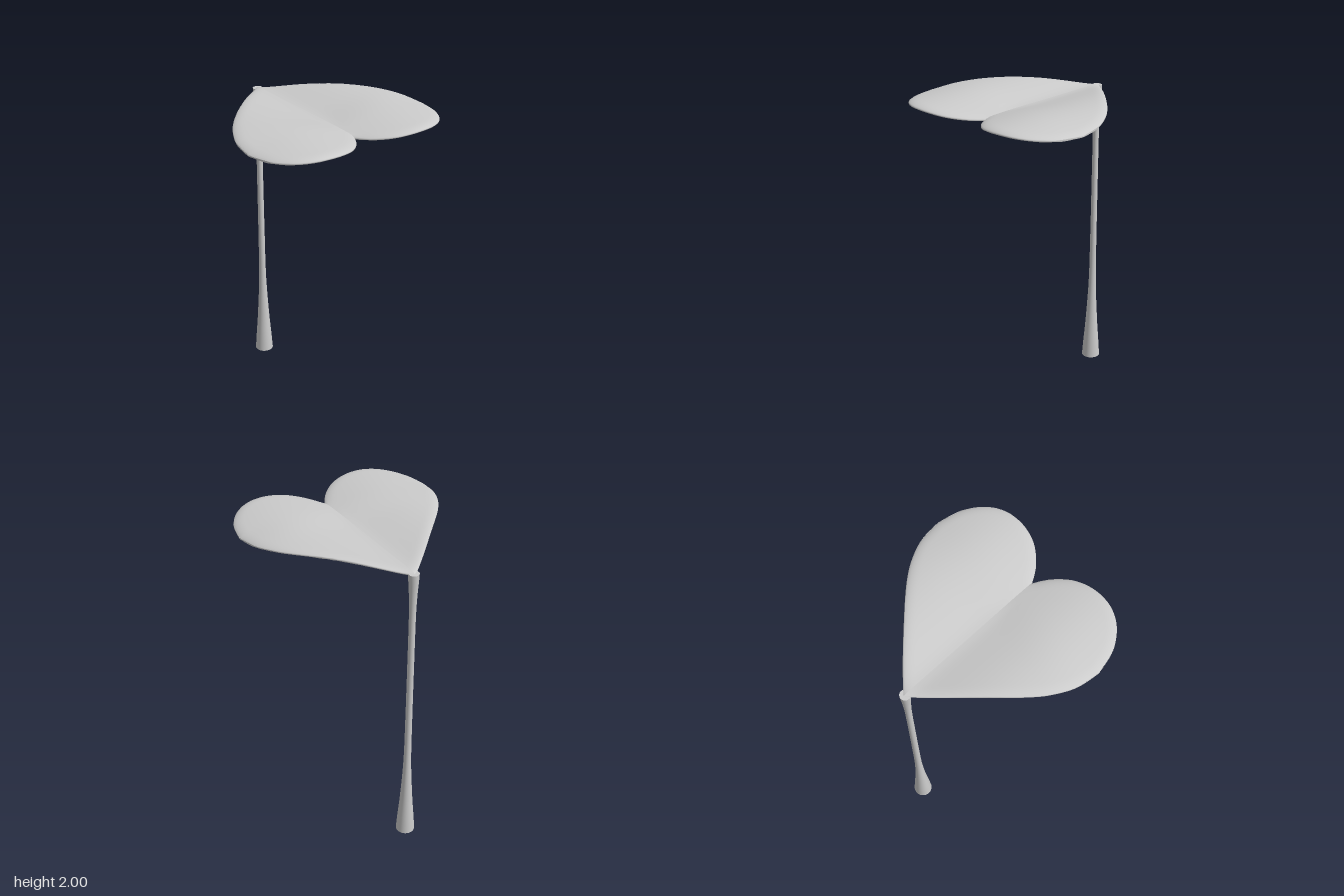
import * as THREE from 'three';

const V2 = (p) => new THREE.Vector2(...p);
const spline = (pts, n) => new THREE.SplineCurve(pts.map(V2)).getPoints(n);

// Half-heart outline as (x, z): rear edge from the stem, front edge from the notch
const REACH = 0.638;
const rear = spline([[0, -0.575], [0.1, -0.485], [0.2, -0.39], [0.39, -0.2], [0.49, -0.09],
  [0.557, 0.005], [0.615, 0.13], [REACH, 0.28]], 160);
const front = spline([[0, 0.405], [0.05, 0.485], [0.13, 0.56], [0.21, 0.6], [0.31, 0.617],
  [0.42, 0.602], [0.52, 0.542], [0.6, 0.43], [REACH, 0.28]], 160);
const outline = [...rear, ...front];

// z of an edge at a given x
function zAt(edge, x) {
  const i = Math.max(1, edge.findIndex((p) => p.x >= x - 1e-6));
  const a = edge[i - 1], b = edge[i];
  return THREE.MathUtils.lerp(a.y, b.y, THREE.MathUtils.clamp((x - a.x) / (b.x - a.x || 1), 0, 1));
}

// Mid-height of the leaf: a valley along the middle, arched lobes, drooping front
function midHeight(x, z) {
  const soft = 0.05 * (1 - THREE.MathUtils.smoothstep(z, 0, 0.3));
  const a = Math.hypot(x, soft) - soft;
  const spine = 1.933 + (z < 0 ? 0.02 * z * z : 0) - (z > 0.1 ? 0.075 * (z - 0.1) ** 2 : 0);
  return spine + 0.052 * Math.sin(Math.PI * a / 0.7);
}

// Half thickness, rounded off towards the outline
function halfThickness(x, z) {
  let d = Infinity;
  for (const p of outline) d = Math.min(d, Math.hypot(p.x - x, p.y - z));
  const k = 1 - Math.min(d / 0.06, 1);
  return 0.015 * Math.sqrt(1 - k * k);
}

// One lobe: closed cross-sections at growing x, running over the top and back underneath
function lobeGeometry(side) {
  const n = 40, m = 36, ring = 2 * m, pos = [], idx = [];
  for (let i = 0; i <= n; i++) {
    const x = REACH * Math.sin(Math.PI / 2 * i / n);
    const z0 = zAt(rear, x), z1 = zAt(front, x);
    for (let j = 0; j < ring; j++) {
      const z = THREE.MathUtils.lerp(z0, z1, (1 - Math.cos(Math.PI * j / m)) / 2);
      const t = j % m === 0 ? 0 : halfThickness(x, z) * (j < m ? 1 : -1);
      pos.push(side * x, midHeight(x, z) + t, z);
      if (i === n) continue;
      const a = i * ring + j, b = i * ring + (j + 1) % ring, c = a + ring, d = b + ring;
      if (side > 0) idx.push(a, b, c, b, d, c);
      else idx.push(a, c, b, b, c, d);
    }
  }
  const g = new THREE.BufferGeometry();
  g.setAttribute('position', new THREE.Float32BufferAttribute(pos, 3));
  g.setIndex(idx);
  g.computeVertexNormals();
  return g;
}

export function createModel() {
  const model = new THREE.Group();
  model.name = 'leafCanopy';
  const grey = new THREE.MeshStandardMaterial({ color: 0xcccccc, side: THREE.DoubleSide });
  const add = (name, geometry, parent = model) => {
    const mesh = new THREE.Mesh(geometry, grey);
    mesh.name = name;
    parent.add(mesh);
    return mesh;
  };

  // Heart-shaped canopy
  const canopy = new THREE.Group();
  canopy.name = 'canopy';
  model.add(canopy);
  add('leftLobe', lobeGeometry(1), canopy);
  add('rightLobe', lobeGeometry(-1), canopy);

  // Hollow pole, flared at the foot and slightly at the top
  const profile = spline([[0.06, 0], [0.053, 0.1], [0.038, 0.3], [0.024, 0.58], [0.021, 0.9],
    [0.02, 1.3], [0.02, 1.65], [0.024, 1.8], [0.03, 1.9], [0.032, 1.945]], 48);
  add('pole', new THREE.LatheGeometry(profile, 40)).position.z = -0.56;

  // Flat top of the pole
  const cap = add('poleCap', new THREE.CircleGeometry(0.032, 40));
  cap.rotation.x = -Math.PI / 2;
  cap.position.set(0, 1.945, -0.56);

  return model;
}
